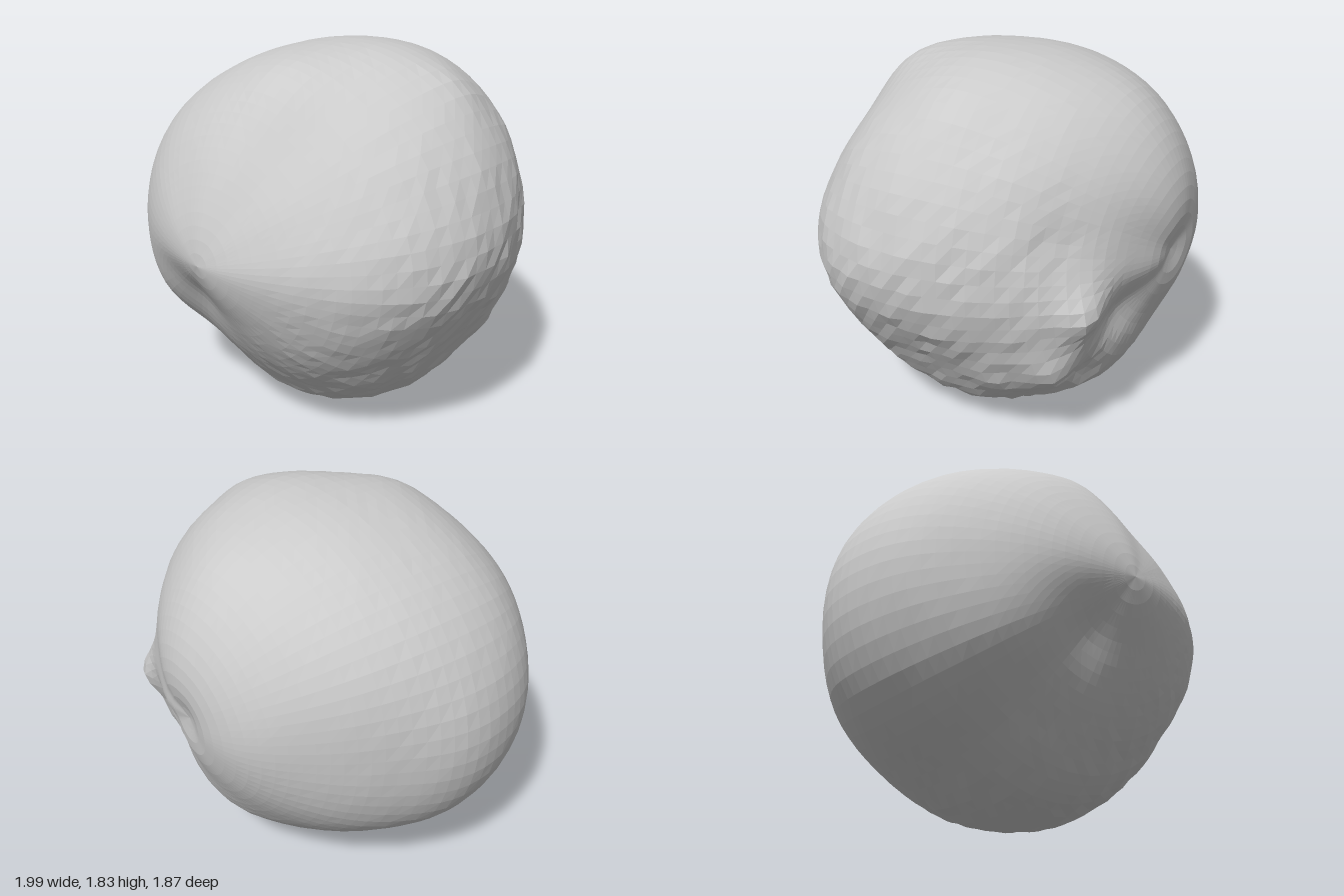
import * as THREE from 'three';

// Radii from the core: one row per ring from the front pole (+z) to the back,
// one column per 30 degrees, running from +x towards +y.
const CORE_Y = 0.93;
const RINGS = [
  new Array(12).fill(0.94),
  [0.93, 0.90, 0.88, 0.90, 0.91, 0.93, 0.93, 0.89, 0.84, 0.85, 0.88, 0.91],
  [0.96, 0.90, 0.86, 0.89, 0.91, 0.94, 0.95, 0.94, 0.84, 0.85, 0.89, 0.93],
  [1.00, 0.95, 0.90, 0.89, 0.90, 0.96, 1.00, 0.98, 0.88, 0.92, 0.93, 0.93],
  [0.98, 0.98, 0.95, 0.885, 0.89, 0.95, 0.995, 0.98, 0.88, 0.93, 0.95, 0.89],
  [0.95, 0.97, 0.96, 0.92, 0.92, 0.94, 0.92, 0.93, 0.90, 0.93, 0.95, 0.93],
  [0.95, 0.94, 0.96, 0.98, 0.96, 0.94, 0.91, 0.91, 0.90, 0.935, 0.95, 0.95],
  [0.90, 0.91, 0.96, 0.98, 0.97, 0.96, 0.95, 0.93, 0.91, 0.89, 0.87, 0.86],
  new Array(12).fill(0.93),
];

// Local swellings and hollows: direction, angular width, height
const DENTS = [
  [0.65, -0.12, -0.79, 0.12, 0.07], // spur at the back corner
  [0.64, -0.45, -0.60, 0.13, 0.06], // ledge running down from the spur
  [0.72, -0.58, -0.35, 0.13, 0.02],
  [0.65, 0.20, -0.62, 0.20, -0.035], // flat above the spur
  [0.36, -0.25, -0.80, 0.16, -0.04], // hollow behind the ledge
  [0.46, -0.56, -0.66, 0.15, -0.06],
  [0.50, -0.74, -0.40, 0.14, -0.03],
  [0.00, 0.00, -1.00, 0.13, -0.05], // pit at the back
  [0.12, 0.84, 0.53, 0.24, 0.035], // brow above the front face
  [0.65, 0.74, -0.08, 0.16, 0.025], // upper corner
  [-0.16, -0.25, 0.94, 0.23, -0.03], // undercut below the front tip
].map(([x, y, z, width, height]) => ({ dir: new THREE.Vector3(x, y, z).normalize(), width, height }));

const cubic = (a, b, c, d, t) =>
  b + 0.5 * t * (c - a + t * (2 * a - 5 * b + 4 * c - d + t * (3 * (b - c) + d - a)));

// Smooth interpolation of the ring table
function baseRadius(d) {
  const u = (Math.acos(THREE.MathUtils.clamp(d.z, -1, 1)) / Math.PI) * (RINGS.length - 1);
  const v = ((Math.atan2(d.y, d.x) / (2 * Math.PI) + 1) % 1) * 12;
  const j = Math.floor(v);
  const around = (row) => {
    const r = RINGS[THREE.MathUtils.clamp(row, 0, RINGS.length - 1)];
    return cubic(r[(j + 11) % 12], r[j % 12], r[(j + 1) % 12], r[(j + 2) % 12], v - j);
  };
  const i = Math.min(Math.floor(u), RINGS.length - 2);
  return cubic(around(i - 1), around(i), around(i + 1), around(i + 2), u - i);
}

// Fine chipping, strongest on the +x side and the underside
function chips(d) {
  const n = Math.sin(17 * d.x + 9 * d.y + 3 * Math.sin(11 * d.z))
    * Math.sin(19 * d.y - 13 * d.z + 2 * Math.sin(14 * d.x))
    + 0.5 * Math.sin(37 * d.y + 29 * d.z) * Math.sin(41 * d.x - 23 * d.z);
  const rough = THREE.MathUtils.smoothstep(0.7 * d.x - 0.6 * d.y, -0.1, 0.7);
  return n * (0.001 + 0.007 * rough) * (1 - d.z * d.z);
}

export function createModel() {
  const geometry = new THREE.SphereGeometry(1, 72, 48);
  geometry.rotateX(Math.PI / 2); // poles at front and back
  const pos = geometry.attributes.position;
  const d = new THREE.Vector3();
  for (let i = 0; i < pos.count; i++) {
    d.fromBufferAttribute(pos, i).normalize();
    // snap rounding noise so the seam stays closed
    d.set(...d.toArray().map((c) => Math.round(c * 1e5) / 1e5 + 0));
    let r = baseRadius(d) + chips(d);
    for (const { dir, width, height } of DENTS) {
      r += height * Math.exp(-((dir.angleTo(d) / width) ** 2));
    }
    pos.setXYZ(i, d.x * r, d.y * r + CORE_Y, d.z * r);
  }

  // Stand it on the ground
  geometry.computeBoundingBox();
  geometry.translate(0, -geometry.boundingBox.min.y, 0);
  geometry.computeVertexNormals();

  const boulder = new THREE.Mesh(
    geometry,
    new THREE.MeshStandardMaterial({ color: 0xcccccc, flatShading: true }),
  );
  boulder.name = 'boulder';
  const group = new THREE.Group();
  group.name = 'rock';
  group.add(boulder);
  return group;
}
